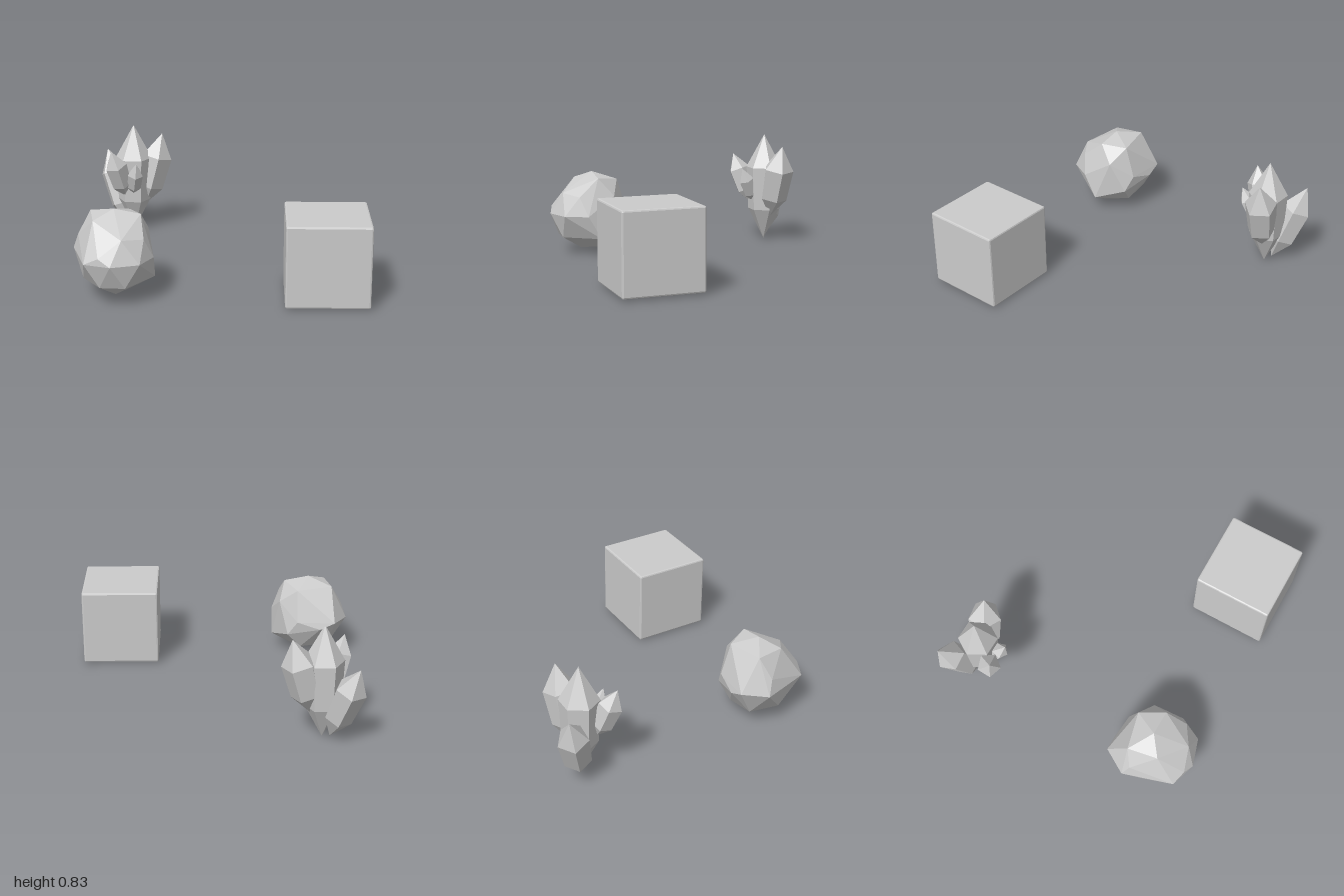
import * as THREE from 'three';
import { RoundedBoxGeometry } from 'three/addons/geometries/RoundedBoxGeometry.js';
import { ConvexGeometry } from 'three/addons/geometries/ConvexGeometry.js';

const V = (x, y, z) => new THREE.Vector3(x, y, z);

export function createModel() {
  const group = new THREE.Group();
  const material = new THREE.MeshStandardMaterial({ color: 0xcccccc, flatShading: true });
  const add = (parent, name, geometry) => {
    const mesh = new THREE.Mesh(geometry, material);
    mesh.name = name;
    parent.add(mesh);
    return mesh;
  };

  // Cube with a narrow chamfer
  add(group, 'cube', new RoundedBoxGeometry(0.565, 0.565, 0.565, 1, 0.012))
    .position.set(0.715, 0.307, 0.675);

  // Faceted boulder: hull of a few corners, crown to underside
  const corners = [
    [-0.71, 0.615, 0.67], [-0.84, 0.56, 0.77], [-0.53, 0.58, 0.67], [-0.62, 0.56, 0.5], [-0.88, 0.57, 0.56],
    [-0.64, 0.47, 0.91], [-0.49, 0.45, 0.56], [-0.96, 0.42, 0.62], [-0.79, 0.36, 0.96], [-0.5, 0.45, 0.82],
    [-0.71, 0.31, 0.99], [-0.89, 0.31, 0.93], [-0.52, 0.31, 0.93], [-1, 0.31, 0.58], [-0.44, 0.31, 0.77],
    [-0.9, 0.33, 0.41], [-0.79, 0.28, 0.405], [-0.62, 0.33, 0.43], [-0.55, 0.22, 0.46],
    [-0.44, 0.14, 0.67], [-0.92, 0.14, 0.72], [-0.62, 0.14, 0.92], [-0.79, 0.14, 0.91], [-0.86, 0.12, 0.52],
    [-0.65, 0.1, 0.5], [-0.76, 0.04, 0.68], [-0.7, 0.04, 0.76], [-0.59, 0.06, 0.66],
  ];
  add(group, 'boulder', new ConvexGeometry(corners.map((p) => V(...p))));

  // Crystal cluster: double-pointed shards running from base to tip
  const crystals = new THREE.Group();
  crystals.name = 'crystalCluster';
  group.add(crystals);
  const shard = (name, base, tip, radius, sides, low, high, turn = 0) => {
    const axis = tip.clone().sub(base);
    const length = axis.length();
    const profile = [[0, 0], [radius * 0.88, low], [radius, high], [0, 1]]
      .map(([r, t]) => new THREE.Vector2(r, t * length));
    const geometry = new THREE.LatheGeometry(profile, sides, turn);
    const mesh = add(crystals, name, geometry);
    mesh.quaternion.setFromUnitVectors(V(0, 1, 0), axis.normalize());
    mesh.position.copy(base);
  };
  shard('mainShard', V(-0.71, 0.01, -0.74), V(-0.705, 0.84, -0.74), 0.14, 6, 0.29, 0.69, 0.5);
  shard('leftShard', V(-0.63, 0.2, -0.76), V(-0.49, 0.76, -0.8), 0.12, 5, 0.26, 0.68, 0.2);
  shard('backShard', V(-0.76, 0.03, -0.77), V(-0.93, 0.6, -0.93), 0.11, 5, 0.28, 0.7, 0.6);
  shard('frontShard', V(-0.77, 0.3, -0.65), V(-0.86, 0.68, -0.54), 0.085, 5, 0.25, 0.68, 0.3);
  shard('smallShard', V(-0.71, 0.31, -0.66), V(-0.67, 0.58, -0.54), 0.06, 5, 0.25, 0.66, 0.1);

  return group;
}
